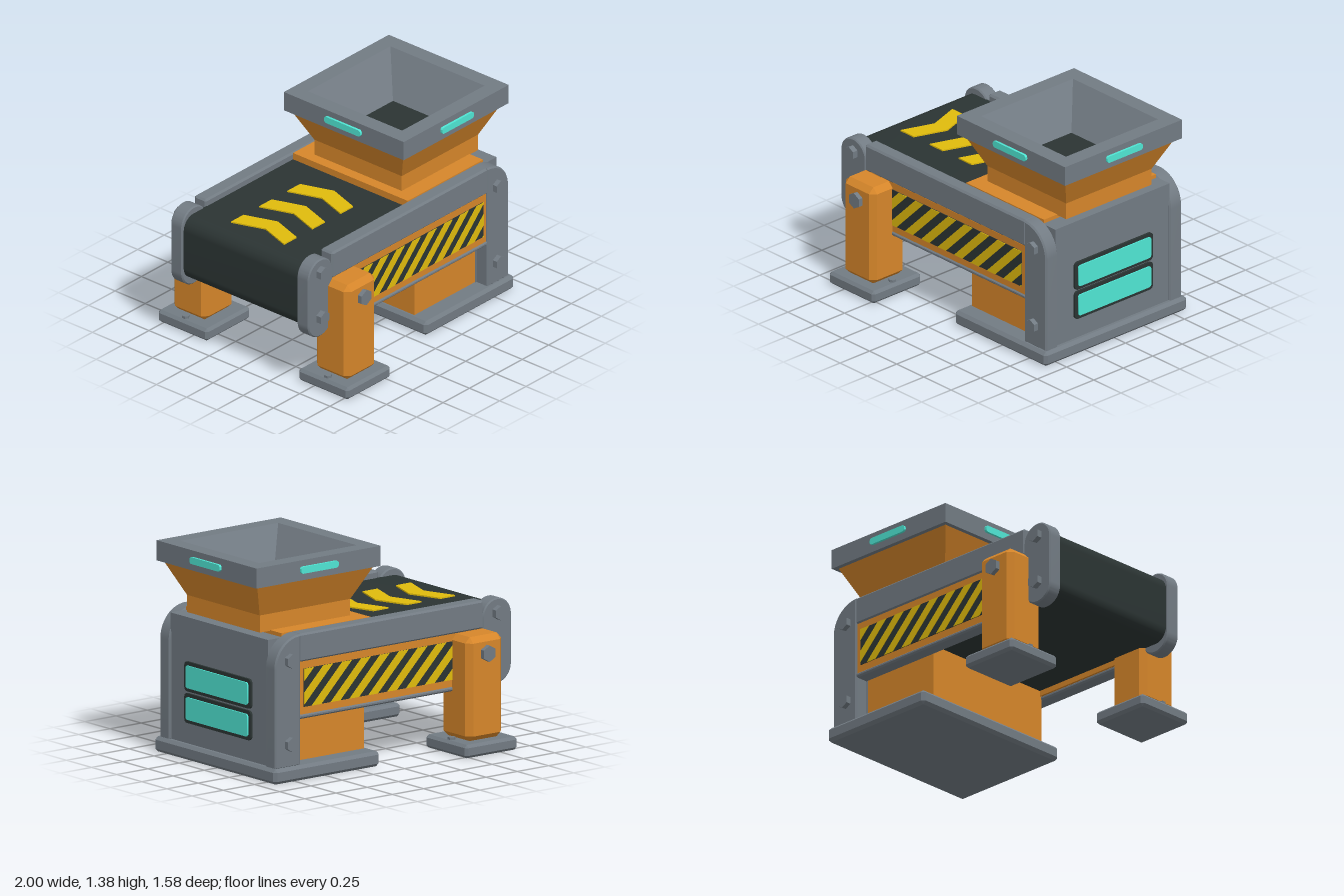
import * as THREE from 'three';
import { toCreasedNormals } from 'three/addons/utils/BufferGeometryUtils.js';
import { ConvexGeometry } from 'three/addons/geometries/ConvexGeometry.js';

const mat = (name, color) => {
  const m = new THREE.MeshStandardMaterial({ color });
  m.name = name;
  return m;
};

export function createModel() {
  const root = new THREE.Group();
  root.name = 'conveyorWithHopper';
  const steel = mat('steelGrey', 0x727b83);
  const orange = mat('orangePaint', 0xd6862a);
  const dark = mat('darkRubber', 0x2b3433);
  const yellow = mat('hazardYellow', 0xe0bb0c);
  const teal = mat('tealLight', 0x4fe6d4);

  const add = (name, geo, material, x = 0, y = 0, z = 0) => {
    const mesh = new THREE.Mesh(geo, material);
    mesh.name = name;
    mesh.position.set(x, y, z);
    root.add(mesh);
    return mesh;
  };

  // Box given by its limits, with every edge chamfered by c
  const block = (name, material, [x0, x1], [y0, y1], [z0, z1], c = 0) => {
    const w = (x1 - x0) / 2, h = (y1 - y0) / 2, d = (z1 - z0) / 2;
    let geo = new THREE.BoxGeometry(2 * w, 2 * h, 2 * d);
    if (c > 0) {
      const pts = [];
      for (const i of [-1, 1]) for (const j of [-1, 1]) for (const k of [-1, 1]) {
        pts.push(
          new THREE.Vector3(i * w, j * (h - c), k * (d - c)),
          new THREE.Vector3(i * (w - c), j * h, k * (d - c)),
          new THREE.Vector3(i * (w - c), j * (h - c), k * d));
      }
      geo = new ConvexGeometry(pts);
    }
    return add(name, geo, material, (x0 + x1) / 2, (y0 + y1) / 2, (z0 + z1) / 2);
  };

  // Limits on the left (s = 1) or right (s = -1) flank
  const flank = (s, a, b) => (s > 0 ? [a, b] : [-b, -a]);

  // Extrusion centred on z = 0, with an optional one-step bevel inside the outline
  const slab = (shape, depth, bevel = 0) => {
    const geo = new THREE.ExtrudeGeometry(shape, {
      depth: depth - 2 * bevel, curveSegments: 10, bevelEnabled: bevel > 0,
      bevelThickness: bevel, bevelSize: bevel, bevelOffset: -bevel, bevelSegments: 1,
    });
    geo.translate(0, 0, bevel - depth / 2);
    return toCreasedNormals(geo, 0.5);
  };

  const roundRect = (w, h, r) => {
    const s = new THREE.Shape();
    const x = w / 2 - r, y = h / 2 - r;
    s.absarc(x, y, r, 0, Math.PI / 2);
    s.absarc(-x, y, r, Math.PI / 2, Math.PI);
    s.absarc(-x, -y, r, Math.PI, Math.PI * 1.5);
    s.absarc(x, -y, r, Math.PI * 1.5, Math.PI * 2);
    return s;
  };

  const polygon = (pts) => new THREE.Shape(pts.map(([x, y]) => new THREE.Vector2(x, y)));

  // Keeps the part of a polygon where sign * x <= sign * limit
  const clipX = (pts, limit, sign) => {
    const out = [];
    pts.forEach((p, i) => {
      const q = pts[(i + 1) % pts.length];
      const pin = sign * (p[0] - limit) <= 0, qin = sign * (q[0] - limit) <= 0;
      if (pin) out.push(p);
      if (pin !== qin) {
        const t = (limit - p[0]) / (q[0] - p[0]);
        out.push([limit, p[1] + t * (q[1] - p[1])]);
      }
    });
    return out;
  };

  const bolt = (name, x, y, z, r, length) => {
    const geo = new THREE.CylinderGeometry(r, r, length, 6).toNonIndexed();
    geo.computeVertexNormals();
    geo.rotateX(Math.PI / 2);
    return add(name, geo, steel, x, y, z);
  };

  // Belt with chevrons
  const beltTop = 0.885, beltBottom = 0.445;
  add('belt', slab(roundRect(1.685, beltTop - beltBottom, 0.09), 0.96), dark,
    -0.1425, (beltTop + beltBottom) / 2, 0);
  for (let i = 0; i < 3; i++) {
    const geo = slab(polygon([[-0.83, -0.22], [-0.71, -0.22], [-0.635, 0],
      [-0.71, 0.22], [-0.83, 0.22], [-0.755, 0]]), 0.018);
    geo.rotateX(-Math.PI / 2);
    add('beltChevron', geo, yellow, i * 0.267, beltTop, 0);
  }

  // Corner pillar outline, rounded at the top outer corner
  const pillar = new THREE.Shape();
  pillar.moveTo(0.69, 0.09);
  pillar.lineTo(0.895, 0.09);
  pillar.lineTo(0.895, 0.73);
  pillar.absarc(0.695, 0.73, 0.2, 0, Math.PI / 2);
  pillar.lineTo(0.69, 0.93);

  for (const s of [1, -1]) {
    // Side frame
    block('upperRail', steel, [-0.776, 0.7], [0.75, 0.932], flank(s, 0.475, 0.574), 0.012);
    block('lowerRail', steel, [-0.776, 0.7], [0.385, 0.415], flank(s, 0.475, 0.574), 0.01);
    block('sidePanel', orange, [-0.776, 0.7], [0.41, 0.752], flank(s, 0.465, 0.566));
    add('beltEndPlate', slab(roundRect(0.23, 0.545, 0.1149), 0.097, 0.008),
      steel, -0.885, 0.6585, s * 0.5235);
    add('cornerPillar', slab(pillar, 0.102, 0.01), steel, 0, 0, s * 0.526);
    for (const y of [0.84, 0.525]) bolt('endPlateBolt', -0.885, y, s * 0.585, 0.046, 0.05);
    for (const y of [0.775, 0.24]) bolt('pillarBolt', 0.78, y, s * 0.585, 0.046, 0.05);

    // Hazard stripes
    const [x0, x1, y0, y1] = [-0.62, 0.66, 0.46, 0.705];
    block('stripePlate', dark, [x0, x1], [y0, y1], flank(s, 0.565, 0.571));
    const lean = y1 - y0;
    for (let i = -4; i < 8; i++) {
      const a = -0.409 + i * 0.151, b = a + 0.076;
      let pts = [[a, y0], [b, y0], [b + lean, y1], [a + lean, y1]];
      pts = clipX(clipX(pts, x1, 1), x0, -1);
      if (pts.length < 3) continue;
      const geo = slab(polygon(pts), 0.005);
      if (s < 0) geo.translate(-(x0 + x1) / 2, 0, 0).rotateY(Math.PI).translate((x0 + x1) / 2, 0, 0);
      add('hazardStripe', geo, yellow, 0, 0, s * 0.5715);
    }

    // Support leg and foot
    block('leg', orange, [-0.813, -0.527], [0.083, 0.75], flank(s, 0.448, 0.734), 0.036);
    block('foot', steel, [-0.878, -0.462], [0, 0.085], flank(s, 0.376, 0.79), 0.018);
    bolt('legBolt', -0.67, 0.64, s * 0.742, 0.053, 0.045);
    for (const x of [-0.835, -0.505]) {
      bolt('footBolt', x, 0.09, s * 0.59, 0.025, 0.022).rotation.x = Math.PI / 2;
    }
  }

  // Machine body under the hopper
  block('basePlate', steel, [0.075, 0.92], [0, 0.097], [-0.605, 0.605], 0.02);
  block('bodyBase', orange, [0.108, 0.7], [0.09, 0.45], [-0.48, 0.48]);
  block('bodyEnd', steel, [0.68, 0.88], [0.09, 0.905], [-0.485, 0.485]);
  block('hopperPlate', orange, [0.05, 0.765], [0.87, 0.93], [-0.475, 0.475]);

  // End lights in dark frames
  for (const y of [0.53, 0.327]) {
    add('endLightFrame', slab(roundRect(0.66, 0.19, 0.025), 0.03), dark, 0.88, y, 0)
      .rotation.y = Math.PI / 2;
    add('endLight', slab(roundRect(0.616, 0.144, 0.018), 0.03), teal, 0.889, y, 0)
      .rotation.y = Math.PI / 2;
  }

  // Four-sided hopper; profile points are half-width and height
  const hopperX = 0.485;
  const foursided = (profile) => {
    const pts = profile.map(([r, y]) => new THREE.Vector2(r * Math.SQRT2, y));
    const geo = new THREE.LatheGeometry(pts, 4, Math.PI / 4).toNonIndexed();
    geo.computeVertexNormals();
    return geo;
  };
  add('hopperFunnel', foursided([[0.362, 0.925], [0.362, 1.035], [0.467, 1.252]]), orange, hopperX);
  add('hopperRim', foursided([[0.39, 1.251], [0.497, 1.251], [0.497, 1.38], [0.39, 1.38], [0.218, 1.12]]),
    steel, hopperX);
  block('hopperFloor', dark, [hopperX - 0.225, hopperX + 0.225], [1.09, 1.123], [-0.225, 0.225]);
  for (let i = 0; i < 4; i++) {
    const a = i * Math.PI / 2;
    add('rimLight', slab(roundRect(0.3, 0.044, 0.018), 0.03), teal,
      hopperX + Math.sin(a) * 0.498, 1.318, Math.cos(a) * 0.498).rotation.y = a;
  }

  return root;
}
